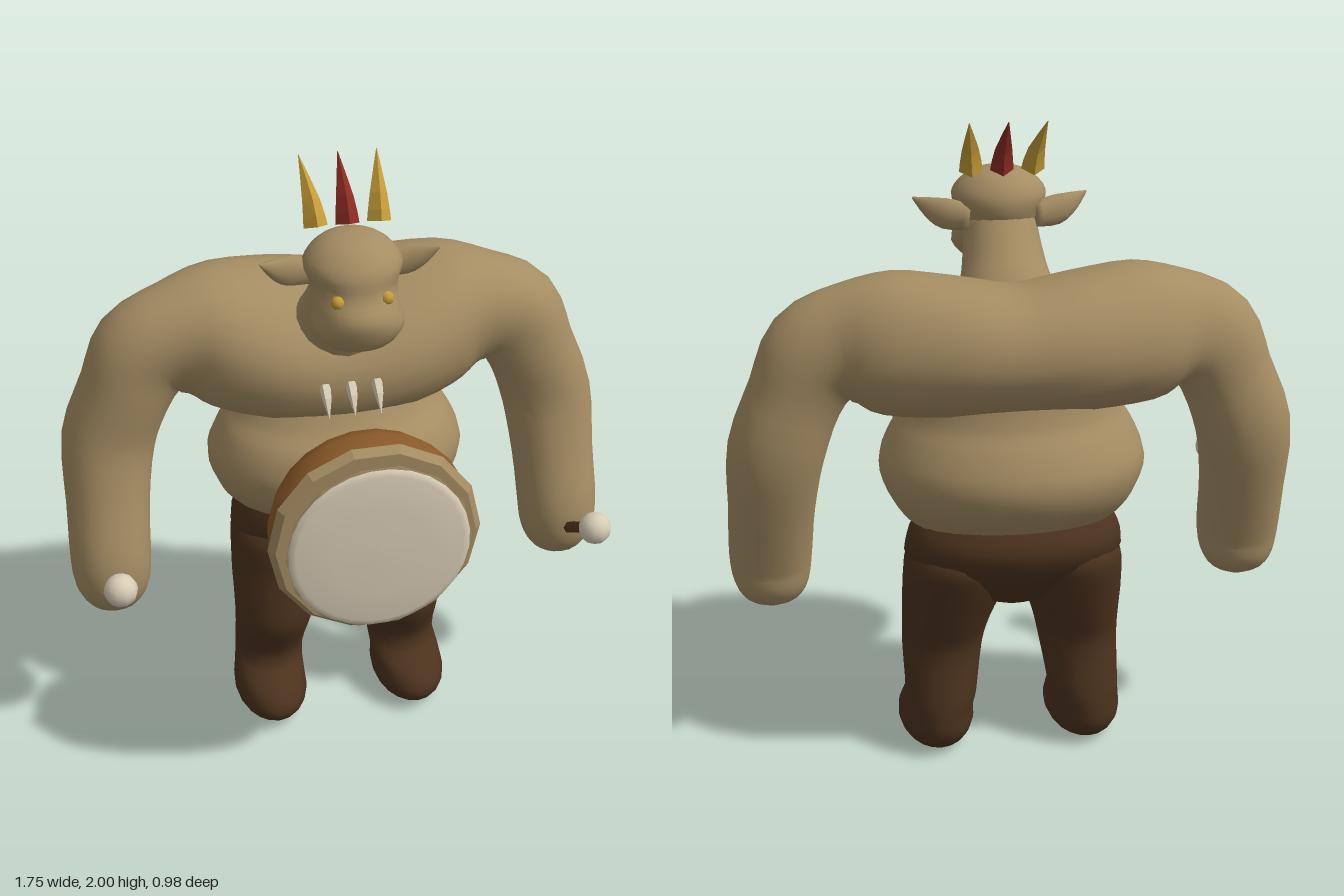
import * as THREE from 'three';

const mat = (name, color) => {
  const m = new THREE.MeshStandardMaterial({ color });
  m.name = name;
  return m;
};
const V = (x, y, z) => new THREE.Vector3(x, y, z);
const X = V(1, 0, 0), UP = V(0, 1, 0), DOWN = V(0, -1, 0);

// Skin a tube over sections [x, y, z, radius along ref, radius across].
// A fixed axis keeps the rings parallel; otherwise they follow the path.
function loft(keys, { ref, axis, sides = 20, steps = 3, power = 2, flat = false }) {
  const rows = [];
  for (let i = 0; i < keys.length - 1; i++) {
    const [p, q, r, s] = [-1, 0, 1, 2].map(k => keys[THREE.MathUtils.clamp(i + k, 0, keys.length - 1)]);
    for (let n = 0; n < steps; n++) {
      const t = n / steps;
      rows.push(q.map((b, k) => b + 0.5 * t * (r[k] - p[k] + t * (2 * p[k] - 5 * b + 4 * r[k] - s[k] + t * (3 * (b - r[k]) + s[k] - p[k])))));
    }
  }
  rows.push(keys[keys.length - 1]);
  const pos = [], idx = [], at = r => V(r[0], r[1], r[2]);
  const bend = c => Math.sign(c) * Math.abs(c) ** (2 / power);
  rows.forEach((row, i) => {
    const next = at(rows[Math.min(i + 1, rows.length - 1)]);
    const t = axis ? axis.clone() : next.sub(at(rows[Math.max(i - 1, 0)])).normalize();
    const u = ref.clone().addScaledVector(t, -ref.dot(t)).normalize();
    const v = t.clone().cross(u);
    for (let j = 0; j < sides; j++) {
      const a = j / sides * Math.PI * 2;
      const p = at(row).addScaledVector(u, Math.max(row[3], 0.001) * bend(Math.cos(a)))
        .addScaledVector(v, Math.max(row[4], 0.001) * bend(Math.sin(a)));
      pos.push(p.x, p.y, p.z);
    }
  });
  const last = (rows.length - 1) * sides, c0 = rows.length * sides;
  for (const r of [rows[0], rows[rows.length - 1]]) pos.push(r[0], r[1], r[2]);
  for (let j = 0; j < sides; j++) {
    const k = (j + 1) % sides;
    for (let o = 0; o < last; o += sides) idx.push(o + j, o + k, o + sides + j, o + k, o + sides + k, o + sides + j);
    idx.push(c0, k, j, c0 + 1, last + j, last + k);
  }
  let g = new THREE.BufferGeometry();
  g.setAttribute('position', new THREE.Float32BufferAttribute(pos, 3));
  g.setIndex(idx);
  if (flat) g = g.toNonIndexed();
  g.computeVertexNormals();
  return g;
}

// Turned shape facing +z, from [radius, z] points listed back to front
function turned(points, sides, flat) {
  let g = new THREE.LatheGeometry(points.map(p => new THREE.Vector2(p[0], p[1])), sides, Math.PI / sides).rotateX(Math.PI / 2);
  if (flat) { g = g.toNonIndexed(); g.computeVertexNormals(); }
  return g.translate(0, 0.98, 0);
}

export function createModel() {
  const model = new THREE.Group();
  model.name = 'drummer';
  const skin = mat('tan skin', 0xa58d63);
  const cloth = mat('dark brown cloth', 0x4b321d);
  const wood = mat('drum wood', 0x8a5929);
  const bone = mat('ivory', 0xd9cdb7);
  const stickWood = mat('stick wood', 0x59381f);
  const gold = mat('gold', 0xc59c38);
  const red = mat('dark red', 0x8c2c22);
  const add = (name, geometry, material) => {
    const m = new THREE.Mesh(geometry, material);
    m.name = name;
    model.add(m);
    return m;
  };
  const side = (keys, s) => keys.map(([x, ...rest]) => [x * s, ...rest]);

  // Chest, shoulders and arms in one sweep from fist to fist, leaning forward
  const half = [[0.2, 1.36, -0.2, 0.283, 0.212], [0.38, 1.385, -0.21, 0.225, 0.213],
    [0.5, 1.385, -0.2, 0.165, 0.178], [0.592, 1.345, -0.195, 0.15, 0.165], [0.655, 1.23, -0.19, 0.145, 0.143],
    [0.718, 1.06, -0.19, 0.143, 0.146], [0.738, 0.86, -0.14, 0.136, 0.132], [0.747, 0.68, -0.085, 0.135, 0.128],
    [0.747, 0.59, -0.09, 0.122, 0.115], [0.747, 0.535, -0.1, 0.085, 0.08], [0.747, 0.51, -0.105, 0.02, 0.02]];
  add('chestAndArms', loft([...side(half, -1).reverse(), [0, 1.34, -0.195, 0.295, 0.2], ...half],
    { ref: V(0, -0.3, 1), sides: 24, power: 2.15 }), skin);

  // Belly and waist
  add('belly', loft([[0, 0.77, -0.17, 0.27, 0.16], [0, 0.81, -0.165, 0.33, 0.205], [0, 0.89, -0.155, 0.385, 0.3],
    [0, 0.99, -0.15, 0.41, 0.338], [0, 1.09, -0.145, 0.372, 0.305], [0, 1.16, -0.16, 0.33, 0.245],
    [0, 1.28, -0.18, 0.3, 0.2]], { ref: X, axis: UP, sides: 28 }), skin);

  // Neck and head
  add('neck', loft([[0, 1.34, -0.09, 0.2, 0.13], [0, 1.45, -0.06, 0.16, 0.13], [0, 1.54, 0, 0.13, 0.118],
    [0, 1.67, 0.09, 0.11, 0.11]], { ref: X }), skin);
  add('head', loft([[0, 1.515, 0.19, 0.03, 0.03], [0, 1.53, 0.19, 0.095, 0.075], [0, 1.58, 0.18, 0.137, 0.112],
    [0, 1.635, 0.155, 0.128, 0.145], [0, 1.69, 0.115, 0.128, 0.145], [0, 1.75, 0.105, 0.146, 0.142],
    [0, 1.8, 0.1, 0.108, 0.105], [0, 1.825, 0.095, 0.06, 0.055], [0, 1.833, 0.09, 0.005, 0.005]],
    { ref: X, axis: UP }), skin);

  // Hips
  add('hips', loft([[0, 0.835, -0.17, 0.285, 0.19], [0, 0.76, -0.185, 0.33, 0.222], [0, 0.68, -0.18, 0.335, 0.205],
    [0, 0.6, -0.17, 0.25, 0.155], [0, 0.54, -0.165, 0.13, 0.11], [0, 0.515, -0.16, 0.05, 0.06]],
    { ref: X, axis: DOWN, sides: 24 }), cloth);

  for (const s of [1, -1]) {
    const label = s > 0 ? 'left' : 'right';
    add(label + 'Leg', loft(side([[0.17, 0.76, -0.185, 0.08, 0.1], [0.178, 0.69, -0.18, 0.155, 0.18],
      [0.187, 0.57, -0.16, 0.16, 0.167], [0.207, 0.45, -0.13, 0.14, 0.152], [0.219, 0.35, -0.115, 0.128, 0.135],
      [0.23, 0.2, -0.16, 0.114, 0.118], [0.238, 0.135, -0.11, 0.116, 0.175], [0.24, 0.075, -0.09, 0.12, 0.19],
      [0.24, 0.025, -0.09, 0.095, 0.15], [0.24, 0.005, -0.1, 0.045, 0.08]], s), { ref: X, axis: DOWN }), cloth);

    add(label + 'Ear', loft(side([[0.1, 1.69, 0.035, 0.04, 0.035], [0.17, 1.7, 0.045, 0.048, 0.027],
      [0.22, 1.72, 0.06, 0.032, 0.018], [0.267, 1.745, 0.08, 0.003, 0.003]], s), { ref: UP, sides: 10 }), skin);

    add(label + 'Eye', new THREE.SphereGeometry(0.021, 8, 6).translate(s * 0.072, 1.68, 0.235), gold);

    // Drumstick and padded tip
    add(label + 'Drumstick', loft(side([[0.75, 0.58, -0.07, 0.02, 0.02], [0.75, 0.8, 0.26, 0.02, 0.02]], s),
      { ref: X, sides: 6, steps: 1, flat: true }), stickWood);
    add(label + 'StickTip', new THREE.SphereGeometry(0.052, 10, 8).translate(s * 0.75, 0.804, 0.27), bone);
  }

  // Three swept-back crest spikes
  for (const [name, k, m] of [['leftSpike', 1, gold], ['middleSpike', 0, red], ['rightSpike', -1, gold]]) {
    add(name, loft([[k * 0.094, 1.83, 0.04, 0.036, 0.036], [k * 0.1, 1.9, 0.005, 0.026, 0.025],
      [k * 0.116, 2, -0.09, 0.001, 0.001]], { ref: X, sides: 4, steps: 2, flat: true }), m);
  }

  // Small claws hanging from the chest
  for (const x of [-0.08, 0, 0.08]) {
    add('chestClaw', loft([[x, 1.325, 0.085, 0.018, 0.016], [x, 1.295, 0.118, 0.014, 0.013], [x, 1.247, 0.153, 0.001, 0.001]],
      { ref: X, sides: 6, steps: 1, flat: true }), bone);
  }

  // Drum: bulging shell, hoop, inner collar, head hoop and domed skin
  add('drumShell', turned([[0, 0.17], [0.17, 0.175], [0.23, 0.205], [0.285, 0.26], [0.31, 0.325], [0.295, 0.375],
    [0.26, 0.41], [0, 0.41]], 24), wood);
  add('drumHoop', turned([[0.25, 0.392], [0.305, 0.39], [0.325, 0.412], [0.305, 0.436], [0.25, 0.436]], 14, true), skin);
  add('drumCollar', turned([[0.23, 0.42], [0.23, 0.465]], 14, true), skin);
  add('headHoop', turned([[0.22, 0.452], [0.281, 0.464], [0.283, 0.47], [0.27, 0.473]], 14, true), skin);
  add('drumHead', turned([[0.272, 0.467], [0.276, 0.474], [0.255, 0.483], [0.15, 0.49], [0, 0.492]], 28), bone);

  return model;
}
